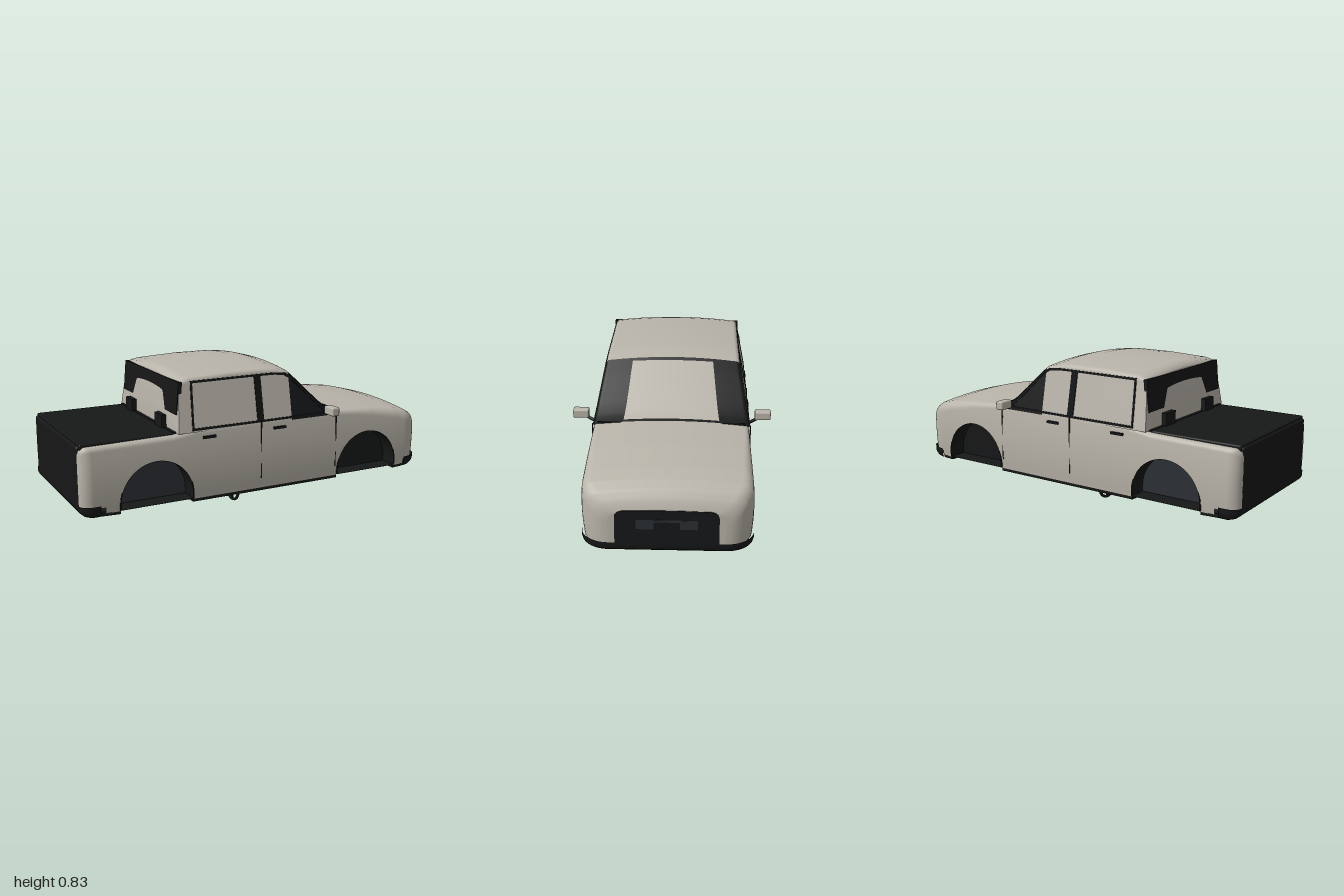
import * as THREE from 'three';
import { RoundedBoxGeometry } from 'three/addons/geometries/RoundedBoxGeometry.js';

const mat = (color) => new THREE.MeshStandardMaterial({ color, side: THREE.DoubleSide });
const lerpTable = (t, x) => {
  if (x <= t[0][0]) return t[0][1];
  for (let i = 1; i < t.length; i++) {
    const [a, b] = [t[i - 1], t[i]];
    if (x <= b[0]) return a[1] + (b[1] - a[1]) * (x - a[0]) / (b[0] - a[0]);
  }
  return t[t.length - 1][1];
};

// Skin through equal-length rows of points, with optional flat ends
function loft(rows, capStart, capEnd) {
  const n = rows[0].length, pos = [], idx = [];
  rows.forEach((r) => r.forEach((p) => pos.push(...p)));
  for (let i = 0; i < rows.length - 1; i++)
    for (let j = 0; j < n - 1; j++) {
      const a = i * n + j, b = a + n;
      idx.push(a, a + 1, b, b, a + 1, b + 1);
    }
  const cap = (r) => {
    const s = pos.length / 3;
    const ys = r.map((p) => p[1]);
    pos.push(r[0][0], (Math.min(...ys) + Math.max(...ys)) / 2, 0);
    r.forEach((p) => pos.push(...p));
    for (let j = 0; j < n; j++) idx.push(s, s + 1 + j, s + 1 + (j + 1) % n);
  };
  if (capStart) cap(rows[0]);
  if (capEnd) cap(rows[rows.length - 1]);
  const g = new THREE.BufferGeometry();
  g.setAttribute('position', new THREE.Float32BufferAttribute(pos, 3));
  g.setIndex(idx);
  g.computeVertexNormals();
  return g;
}

// Arch-shaped section: up one side, round the shoulder, over the crowned top, down the other
function section(x, y0, y1, width, r, crown) {
  const half = [], edge = y1 - crown, ys = Math.max(edge - r, y0);
  for (let i = 0; i <= 8; i++) {
    const y = y0 + (ys - y0) * i / 8;
    half.push([x, y, width(y)]);
  }
  const w = width(ys);
  for (let i = 1; i <= 6; i++) {
    const a = i / 6 * Math.PI / 2;
    half.push([x, ys + (edge - ys) * Math.sin(a), w - r + r * Math.cos(a)]);
  }
  for (let i = 1; i <= 6; i++) {
    const k = 1 - i / 6;
    half.push([x, edge + crown * (1 - k * k), (w - r) * k]);
  }
  return [...half, ...half.slice(0, -1).reverse().map(([a, b, c]) => [a, b, -c])];
}

const ARCH = 0.19, ARCH_Y = 0.23, AXLES = [-0.615, 0.62];
const deck = [[-1, 0.49], [-0.99, 0.51], [-0.97, 0.524], [-0.52, 0.53], [-0.4, 0.548], [0.3, 0.56], [0.42, 0.572],
  [0.65, 0.56], [0.82, 0.54], [0.9, 0.52], [0.95, 0.495], [0.98, 0.46], [0.997, 0.42]];
const roof = [[-0.472, 0.79], [-0.46, 0.808], [-0.42, 0.817], [-0.2, 0.827], [0, 0.826], [0.08, 0.818], [0.14, 0.803],
  [0.2, 0.748], [0.26, 0.687], [0.32, 0.63], [0.37, 0.592], [0.42, 0.57]];
const arc = (t) => Math.sqrt(Math.max(0, 1 - t * t));
const plan = (x) => x > 0.86 ? 0.27 + 0.13 * arc((x - 0.86) / 0.137)
  : x < -0.94 ? 0.35 + 0.05 * arc((-0.94 - x) / 0.057) : 0.4;
const cabSide = (y) => 0.392 - (y - 0.54) * 0.2;

function bodyRow(x) {
  let y0 = Math.abs(x) > 0.88 ? 0.225 : 0.195;
  for (const c of AXLES)
    if (Math.abs(x - c) <= ARCH + 1e-6) y0 = ARCH_Y + ARCH * arc((x - c) / ARCH);
  const p = plan(x), crown = 0.02 * THREE.MathUtils.smoothstep(x, 0.2, 0.45);
  const r = 0.025 + 0.03 * THREE.MathUtils.smoothstep(x, 0.4, 0.9);
  return section(x, y0, lerpTable(deck, x), (y) => p - 0.4 * (y - 0.36) ** 2, r, crown);
}

function cabRow(x) {
  const row = section(x, 0.535, lerpTable(roof, x), cabSide, 0.025, 0.02);
  return x < -0.45 ? row.map(([a, y, z]) => [a - 0.1 * (0.8 - y), y, z]) : row;
}

// Outline of a wheel arch, open end down
function archShape(r, bottom) {
  const s = new THREE.Shape();
  s.moveTo(r, bottom);
  s.lineTo(r, ARCH_Y);
  s.absarc(0, ARCH_Y, r, 0, Math.PI, false);
  s.lineTo(-r, bottom);
  s.closePath();
  return s;
}

const extrude = (shape, depth) => new THREE.ExtrudeGeometry(shape, { depth, bevelEnabled: false, curveSegments: 24 });
const poly = (pts) => pts.map(([x, y]) => new THREE.Vector2(x, y));

export function createModel() {
  const car = new THREE.Group();
  car.name = 'pickupTruck';
  const paint = mat(0xb9b4aa), black = mat(0x161718), slate = mat(0x2b2f33);
  const add = (name, geo, m, x = 0, y = 0, z = 0) => {
    const mesh = new THREE.Mesh(geo, m);
    mesh.name = name;
    mesh.position.set(x, y, z);
    car.add(mesh);
    return mesh;
  };
  const box = (name, m, sx, sy, sz, x, y, z) => add(name, new THREE.BoxGeometry(sx, sy, sz), m, x, y, z);

  // Lower body, with columns gathered at the ends and around the arches
  const xs = [-0.8795, -0.8805, 0.8795, 0.8805, -0.3, -0.15, 0, 0.15, 0.3, 0.36];
  deck.slice(3, 11).forEach(([x]) => xs.push(x));
  for (let i = 0; i <= 10; i++) {
    const s = Math.sin(i / 10 * Math.PI / 2);
    xs.push(0.86 + 0.137 * s, -0.94 - 0.057 * s);
  }
  for (const c of AXLES) {
    xs.push(c - ARCH - 0.001, c + ARCH + 0.001);
    for (let i = 0; i <= 28; i++) xs.push(c - ARCH * Math.cos(i / 28 * Math.PI));
  }
  const cols = [...new Set(xs)].sort((a, b) => a - b);
  add('lowerBody', loft(cols.map(bodyRow), true, true), paint);

  // Cab shell and windscreen
  const cabXs = roof.map(([x]) => x);
  add('cab', loft(cabXs.filter((x) => x <= 0.14).map(cabRow), true, false), paint);
  const screen = [];
  for (let i = 0; i <= 14; i++) screen.push(cabRow(0.14 + 0.28 * i / 14));
  add('cabFrontSides', loft(screen, false, false), black);
  const glass = [];
  for (let i = 0; i <= 14; i++) {
    const x = 0.155 + 0.25 * i / 14, row = [], w = 0.207 + 0.033 * i / 14;
    for (let j = -8; j <= 8; j++) {
      const z = w * j / 8;
      row.push([x + 0.003, lerpTable(roof, x) + 0.004 - 0.02 * (z / 0.36) ** 2, z]);
    }
    glass.push(row);
  }
  add('windscreen', loft(glass, false, false), paint);
  box('scuttleStrip', black, 0.012, 0.012, 0.74, 0.415, 0.557, 0);

  // Rear window, its lower mounts and the bed
  const rearGlass = box('rearWindow', black, 0.02, 0.16, 0.71, -0.478, 0.702, 0);
  rearGlass.rotation.z = -0.09;
  for (const s of [1, -1]) box('bedMount', black, 0.025, 0.075, 0.09, -0.513, 0.565, 0.2 * s);
  add('bedCover', new RoundedBoxGeometry(0.485, 0.05, 0.72, 2, 0.008), black, -0.745, 0.513, 0);
  box('bedFrontRail', black, 0.03, 0.02, 0.72, -0.5, 0.53, 0);
  add('tailgate', new RoundedBoxGeometry(0.04, 0.3, 0.7, 3, 0.012), black, -0.98, 0.378, 0);

  // Grille with recessed plate and slots
  const g = new THREE.Shape();
  g.moveTo(-0.24, 0.22);
  g.lineTo(0.24, 0.22);
  g.lineTo(0.238, 0.375);
  g.quadraticCurveTo(0.235, 0.405, 0.2, 0.409);
  g.quadraticCurveTo(0, 0.418, -0.2, 0.409);
  g.quadraticCurveTo(-0.235, 0.405, -0.238, 0.375);
  const grille = add('grille', extrude(g, 0.03), black, 0.969, 0, 0);
  grille.rotation.y = Math.PI / 2;
  box('grilleBar', slate, 0.006, 0.012, 0.28, 0.997, 0.358, 0);
  for (const s of [1, -1]) box('grilleSlot', slate, 0.006, 0.045, 0.08, 0.997, 0.337, 0.1 * s);

  // Wraparound bumpers, tucked in towards the floor
  const bumper = (name, x0, a, zIn, c, x1) => {
    const levels = [[0.24, 0], [0.215, 0], [0.2, 0.008], [0.188, 0.022], [0.181, 0.045]];
    add(name, loft(levels.map(([y, inset]) => {
      const half = [[x1, y, 0.403 - inset * 0.5]];
      for (let i = 0; i <= 10; i++) {
        const t = i / 10 * Math.PI / 2;
        half.push([x0 + (a - Math.sign(a) * inset) * Math.sin(t), y, zIn + (c - inset * 0.5) * Math.cos(t)]);
      }
      return [...half, ...half.slice().reverse().map(([x, yy, z]) => [x, yy, -z])];
    }), false, false), black);
  };
  bumper('frontBumper', 0.88, 0.12, 0.27, 0.133, 0.875);
  bumper('rearBumper', -0.94, -0.06, 0.35, 0.053, -0.905);

  // Floor pan, notched at the wheels
  const side = [[-0.955, 0.3], [-0.93, 0.375]];
  for (const c of AXLES) side.push([c - ARCH, 0.388], [c - ARCH, 0.3], [c + ARCH, 0.3], [c + ARCH, 0.388]);
  side.push([0.88, 0.38], [0.94, 0.33], [0.957, 0.25]);
  const floorShape = new THREE.Shape(poly([...side, ...side.slice().reverse().map(([x, z]) => [x, -z])]));
  const floor = add('floorPan', extrude(floorShape, 0.022), black, 0, 0.202, 0);
  floor.rotation.x = Math.PI / 2;

  // Wheel wells: inner wall and arch liner
  AXLES.forEach((c, i) => {
    add('wheelWell', extrude(archShape(ARCH + 0.003, 0.2), 0.6), i ? black : slate, c, 0, -0.3);
    const liner = archShape(ARCH + 0.004, 0.2);
    liner.holes.push(new THREE.Path(archShape(ARCH - 0.002, 0.201).getPoints(24)));
    for (const s of [1, -1]) add('archLiner', extrude(liner, 0.098), black, c, 0, s > 0 ? 0.3 : -0.398);
  });

  for (const s of [1, -1]) {
    // Side window frame, laid onto the leaning cab side
    const f = new THREE.Shape(poly([[-0.425, 0.543], [0.41, 0.545], [0.32, 0.598], [0.26, 0.655], [0.2, 0.718],
      [0.16, 0.757], [0.12, 0.777], [0.06, 0.783], [-0.415, 0.782]]));
    f.holes.push(new THREE.Path(poly([[-0.415, 0.554], [-0.405, 0.771], [-0.062, 0.773], [-0.062, 0.554]])));
    f.holes.push(new THREE.Path(poly([[-0.025, 0.554], [-0.025, 0.773], [0.06, 0.772], [0.115, 0.764], [0.15, 0.745],
      [0.19, 0.705], [0.25, 0.642], [0.31, 0.585], [0.345, 0.556]])));
    const geo = extrude(f, 0.005), p = geo.attributes.position;
    for (let i = 0; i < p.count; i++) p.setZ(i, p.getZ(i) + cabSide(p.getY(i)) - 0.001);
    const frame = add('sideWindowFrame', geo, black);
    frame.scale.z = s;

    // Door seams and handles
    box('doorSeam', black, 0.004, 0.3, 0.006, -0.042, 0.4, 0.3965 * s);
    box('doorSeam', black, 0.004, 0.3, 0.006, 0.413, 0.4, 0.3965 * s);
    for (const x of [-0.335, 0.065]) box('doorHandle', black, 0.07, 0.012, 0.016, x, 0.505, 0.395 * s);

    // Door mirror on a short arm
    add('mirror', new RoundedBoxGeometry(0.045, 0.045, 0.08, 3, 0.008), paint, 0.34, 0.576, 0.46 * s);
    const arm = new THREE.LineCurve3(new THREE.Vector3(0.37, 0.54, 0.38 * s), new THREE.Vector3(0.345, 0.562, 0.44 * s));
    add('mirrorArm', new THREE.TubeGeometry(arm, 1, 0.008, 8), black);
  }

  // Steering wheel beneath the floor
  const wheel = new THREE.Group();
  wheel.name = 'steeringWheel';
  wheel.position.set(-0.003, 0.085, 0);
  wheel.rotation.y = Math.PI / 2;
  car.add(wheel);
  const part = (name, geo) => {
    const m = new THREE.Mesh(geo, black);
    m.name = name;
    wheel.add(m);
    return m;
  };
  part('rim', new THREE.TorusGeometry(0.076, 0.008, 10, 40));
  part('hub', new THREE.CylinderGeometry(0.03, 0.03, 0.014, 24)).rotation.x = Math.PI / 2;
  for (const a of [0.22, Math.PI - 0.22, -Math.PI / 2].map((t, i) => i < 2 ? -t : t)) {
    const spoke = part('spoke', new THREE.BoxGeometry(0.055, 0.015, 0.008));
    spoke.position.set(0.048 * Math.cos(a), 0.048 * Math.sin(a), 0);
    spoke.rotation.z = a;
  }
  return car;
}
